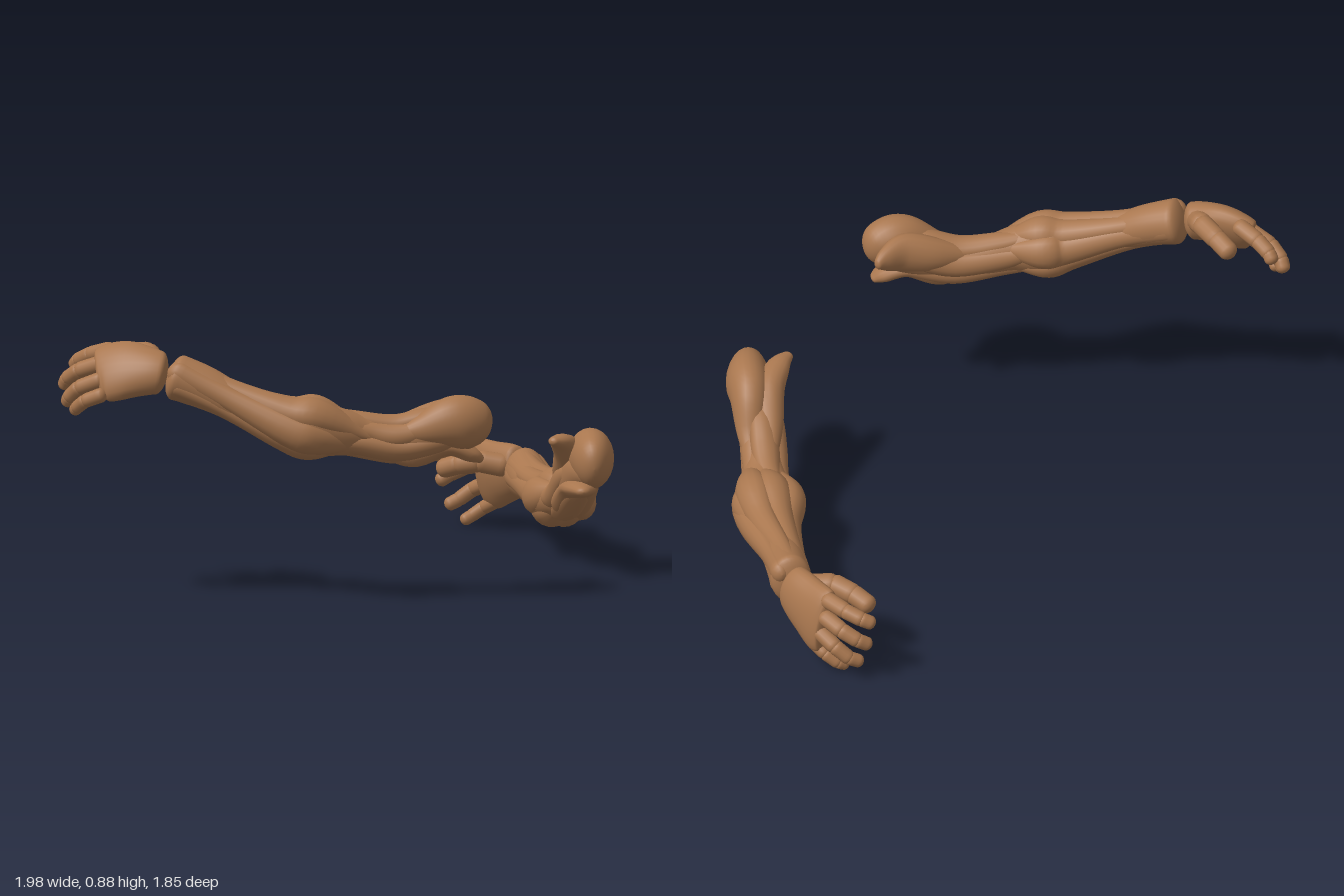
import * as THREE from 'three';

const skin = new THREE.MeshStandardMaterial({ color: 0xa9774f });
skin.name = 'brown skin';
const V = (p) => new THREE.Vector3(p[0], p[1], p[2]);

// Smooth spine through stations [x, y, z, half height, half width]
function makeSpine(stations, up) {
  const path = new THREE.CatmullRomCurve3(stations.map(V), false, 'catmullrom', 0.5);
  const size = new THREE.CatmullRomCurve3(
    stations.map((p) => new THREE.Vector3(p[3], p[4] ?? p[3], 0)), false, 'catmullrom', 0.5);
  return (s) => {
    const c = path.getPoint(s), t = path.getTangent(s), r = size.getPoint(s);
    const u = up.clone().addScaledVector(t, -up.dot(t)).normalize();
    return { c, u, v: t.clone().cross(u), a: Math.max(r.x, 0.001), b: Math.max(r.y, 0.001) };
  };
}

// Closed organic body with oval sections and rounded ends
function loft(name, stations, up, rings = 32, sides = 20, round = 1) {
  const spine = makeSpine(stations, up);
  let length = 0;
  for (let i = 1; i < stations.length; i++) length += V(stations[i]).distanceTo(V(stations[i - 1]));
  const pos = [], index = [];
  for (let i = 0; i <= rings; i++) {
    const s = 0.5 - 0.5 * Math.cos((Math.PI * i) / rings);
    const f = spine(s);
    const capLength = Math.min(round * Math.min(f.a, f.b), length * 0.45);
    const q = Math.min(1, (Math.min(s, 1 - s) * length) / capLength);
    const k = Math.max(Math.sqrt(1 - (1 - q) ** 2), 0.004);
    for (let j = 0; j < sides; j++) {
      const h = (2 * Math.PI * j) / sides;
      const p = f.c.clone().addScaledVector(f.u, Math.cos(h) * f.a * k)
        .addScaledVector(f.v, Math.sin(h) * f.b * k);
      pos.push(p.x, p.y, p.z);
      if (i < rings) {
        const n = i * sides + j, m = i * sides + ((j + 1) % sides);
        index.push(n, m, n + sides, m, m + sides, n + sides);
      }
    }
  }
  const geo = new THREE.BufferGeometry();
  geo.setAttribute('position', new THREE.Float32BufferAttribute(pos, 3));
  geo.setIndex(index);
  geo.computeVertexNormals();
  const mesh = new THREE.Mesh(geo, skin);
  mesh.name = name;
  return mesh;
}

// Muscles lying on the limb: [station, angle from the top toward the outside, relative size]
const MUSCLES = {
  forearmExtensor: [[0, 55, 0.47], [1.5, 75, 0.52], [3.2, 105, 0.54], [4.3, 115, 0.48], [5.6, 130, 0.28]],
  forearmTopMuscle: [[0.1, 5, 0.42], [1.5, 15, 0.48], [3, 35, 0.52], [4.2, 40, 0.52], [5.6, 75, 0.36], [6.6, 95, 0.15]],
  forearmFlexor: [[0.1, -95, 0.45], [1.5, -95, 0.5], [3, -90, 0.52], [4.1, -80, 0.5], [5.4, -55, 0.25]],
  forearmInnerMuscle: [[0.1, -45, 0.42], [1.5, -42, 0.47], [3, -30, 0.48], [4.2, -15, 0.48], [5.3, 5, 0.2]],
  forearmLowerMuscle: [[0.1, 190, 0.42], [1.5, 195, 0.5], [3, 205, 0.52], [4.1, 210, 0.5], [5.2, 215, 0.25]],
  forearmOuterEdge: [[0.1, 120, 0.42], [1.5, 140, 0.46], [3, 155, 0.48], [4.1, 165, 0.46], [5.1, 170, 0.25]],
  biceps: [[4.3, -25, 0.2], [5.5, -15, 0.45], [6.8, -5, 0.55], [8, 0, 0.45], [9, 0, 0.25]],
  innerUpperArm: [[4.4, -80, 0.2], [5.6, -85, 0.45], [7, -85, 0.52], [8.2, -80, 0.42], [9.2, -70, 0.2]],
  tricepsLong: [[4.3, 200, 0.2], [5.6, 200, 0.46], [7, 200, 0.55], [8.2, 195, 0.48], [9.4, 190, 0.2]],
  tricepsOuter: [[4.4, 135, 0.2], [5.6, 130, 0.45], [7, 130, 0.52], [8.2, 130, 0.4], [9, 130, 0.2]],
  upperArmOuter: [[5, 70, 0.2], [6, 65, 0.42], [7, 65, 0.48], [8.3, 60, 0.3]],
};

function makeArm(name, arm) {
  const g = new THREE.Group();
  g.name = name;
  const add = (...args) => g.add(loft(...args));
  const up = new THREE.Vector3(0, 1, 0);
  const spine = makeSpine(arm.limb, up), last = arm.limb.length - 1;
  // Limb core
  add('limbCore', arm.limb.map(([x, y, z, a, b], i) => {
    const k = i < 2 ? 0.97 : 0.88;
    return [x, y, z, a * k, b * k];
  }), up, 64, 28, 0.4);
  // Muscle bands
  for (const [label, track] of Object.entries(MUSCLES)) {
    const outward = new THREE.Vector3();
    const stations = track.map(([t, deg, k]) => {
      const f = spine(t / last), h = THREE.MathUtils.degToRad(deg) * arm.side;
      const d = f.u.clone().multiplyScalar(Math.cos(h) * f.a).addScaledVector(f.v, Math.sin(h) * f.b);
      outward.add(d);
      const r = k * Math.sqrt(f.a * f.b);
      return [...f.c.clone().addScaledVector(d, 0.56).toArray(), r * 0.92, r * 1.1];
    });
    add(label, stations, outward.normalize(), 36, 16);
  }
  // Shoulder muscles
  add('deltoid', arm.deltoid, up, 36, 24);
  add('frontShoulderFlap', arm.topFlap, up, 32, 16);
  add('rearShoulderFlap', arm.lowFlap, up, 32, 16);
  // Hand
  add('palm', arm.palm, V(arm.palmUp), 32, 24, 0.5);
  for (const [finger, points, r] of arm.fingers) {
    for (let i = 0; i < points.length - 1; i++) {
      const a = V(points[i]), b = V(points[i + 1]);
      const dir = b.clone().sub(a).normalize();
      a.addScaledVector(dir, -r * 0.5);
      b.addScaledVector(dir, r * 0.5);
      const ra = r * (1 - i * 0.07), mid = a.clone().lerp(b, 0.5);
      add(finger + 'Segment', [[...a.toArray(), ra], [...mid.toArray(), ra * 0.96], [...b.toArray(), ra * 0.93]],
        new THREE.Vector3(0.1, 1, 0.13), 16, 14, 0.8);
    }
  }
  return g;
}

const rightArm = {
  side: 1,
  limb: [[-0.665, 0.782, 0.587, 0.084, 0.084], [-0.55, 0.742, 0.638, 0.074, 0.072], [-0.42, 0.675, 0.705, 0.07, 0.07],
    [-0.3, 0.63, 0.752, 0.096, 0.09], [-0.22, 0.613, 0.767, 0.115, 0.112], [-0.12, 0.595, 0.783, 0.094, 0.086],
    [-0.02, 0.578, 0.78, 0.08, 0.07], [0.09, 0.563, 0.798, 0.085, 0.072], [0.2, 0.585, 0.815, 0.092, 0.085],
    [0.29, 0.6, 0.82, 0.08, 0.08], [0.36, 0.59, 0.81, 0.05, 0.05]],
  deltoid: [[0.07, 0.585, 0.83, 0.015, 0.015], [0.16, 0.6, 0.842, 0.055, 0.05], [0.26, 0.623, 0.85, 0.09, 0.078],
    [0.33, 0.615, 0.845, 0.088, 0.075], [0.392, 0.59, 0.825, 0.06, 0.05]],
  topFlap: [[0.03, 0.59, 0.77, 0.02, 0.02], [0.16, 0.605, 0.77, 0.06, 0.05], [0.27, 0.625, 0.77, 0.07, 0.05],
    [0.34, 0.628, 0.73, 0.045, 0.03], [0.375, 0.625, 0.7, 0.014, 0.012]],
  lowFlap: [[0.03, 0.52, 0.8, 0.02, 0.02], [0.14, 0.515, 0.805, 0.048, 0.05], [0.25, 0.54, 0.82, 0.035, 0.055],
    [0.33, 0.51, 0.83, 0.028, 0.045], [0.373, 0.487, 0.83, 0.012, 0.018]],
  palmUp: [0.25, 1, -0.65],
  palm: [[-0.665, 0.782, 0.582, 0.07, 0.062], [-0.72, 0.79, 0.563, 0.085, 0.062], [-0.79, 0.792, 0.525, 0.106, 0.058],
    [-0.85, 0.78, 0.49, 0.108, 0.05], [-0.885, 0.77, 0.475, 0.09, 0.036]],
  fingers: [
    ['index', [[-0.825, 0.848, 0.425], [-0.88, 0.825, 0.36], [-0.912, 0.8, 0.315], [-0.92, 0.782, 0.298]], 0.03],
    ['middle', [[-0.86, 0.81, 0.46], [-0.93, 0.778, 0.4], [-0.96, 0.745, 0.355], [-0.965, 0.72, 0.335]], 0.03],
    ['ring', [[-0.88, 0.76, 0.51], [-0.945, 0.728, 0.46], [-0.97, 0.69, 0.42], [-0.972, 0.672, 0.405]], 0.029],
    ['little', [[-0.885, 0.715, 0.55], [-0.935, 0.69, 0.51], [-0.955, 0.66, 0.465], [-0.957, 0.65, 0.452]], 0.026],
    ['thumb', [[-0.7, 0.81, 0.545], [-0.705, 0.84, 0.465], [-0.745, 0.828, 0.385], [-0.778, 0.808, 0.33]], 0.041]],
};

const leftArm = {
  side: -1,
  limb: [[0.857, 0.223, -0.59, 0.096, 0.072], [0.857, 0.21, -0.46, 0.078, 0.073], [0.862, 0.2, -0.33, 0.073, 0.078],
    [0.868, 0.197, -0.2, 0.08, 0.102], [0.864, 0.21, -0.075, 0.096, 0.14], [0.86, 0.22, 0.02, 0.082, 0.102],
    [0.85, 0.237, 0.1, 0.085, 0.08], [0.843, 0.265, 0.17, 0.092, 0.076], [0.84, 0.315, 0.25, 0.1, 0.08],
    [0.845, 0.36, 0.35, 0.085, 0.075], [0.845, 0.37, 0.46, 0.05, 0.05]],
  deltoid: [[0.89, 0.255, 0.11, 0.015, 0.015], [0.882, 0.312, 0.2, 0.045, 0.045], [0.868, 0.393, 0.3, 0.09, 0.068],
    [0.862, 0.41, 0.39, 0.1, 0.075], [0.84, 0.39, 0.515, 0.08, 0.05]],
  topFlap: [[0.83, 0.28, 0.08, 0.02, 0.02], [0.815, 0.34, 0.2, 0.045, 0.045], [0.8, 0.42, 0.3, 0.05, 0.05],
    [0.76, 0.465, 0.375, 0.032, 0.042], [0.712, 0.48, 0.425, 0.012, 0.015]],
  lowFlap: [[0.84, 0.2, 0.08, 0.02, 0.02], [0.825, 0.23, 0.18, 0.045, 0.055], [0.825, 0.292, 0.3, 0.035, 0.06],
    [0.815, 0.31, 0.42, 0.03, 0.055], [0.8, 0.315, 0.52, 0.014, 0.02]],
  palmUp: [-0.2, 1, 0.05],
  palm: [[0.86, 0.222, -0.6, 0.08, 0.05], [0.845, 0.217, -0.645, 0.094, 0.055], [0.815, 0.202, -0.71, 0.109, 0.055],
    [0.785, 0.188, -0.78, 0.124, 0.046], [0.77, 0.185, -0.81, 0.1, 0.034]],
  fingers: [
    ['index', [[0.768, 0.275, -0.79], [0.715, 0.268, -0.86], [0.665, 0.252, -0.895], [0.633, 0.238, -0.9]], 0.03],
    ['middle', [[0.78, 0.22, -0.81], [0.73, 0.2, -0.875], [0.68, 0.172, -0.9], [0.645, 0.152, -0.897]], 0.03],
    ['ring', [[0.795, 0.155, -0.8], [0.75, 0.125, -0.857], [0.705, 0.088, -0.877], [0.67, 0.072, -0.875]], 0.029],
    ['little', [[0.81, 0.095, -0.77], [0.775, 0.068, -0.807], [0.735, 0.038, -0.822], [0.71, 0.026, -0.817]], 0.026],
    ['thumb', [[0.81, 0.235, -0.635], [0.725, 0.25, -0.662], [0.665, 0.235, -0.71], [0.62, 0.215, -0.755]], 0.041]],
};

export function createModel() {
  const model = new THREE.Group();
  model.name = 'pairOfArms';
  model.add(makeArm('rightArm', rightArm), makeArm('leftArm', leftArm));
  return model;
}
